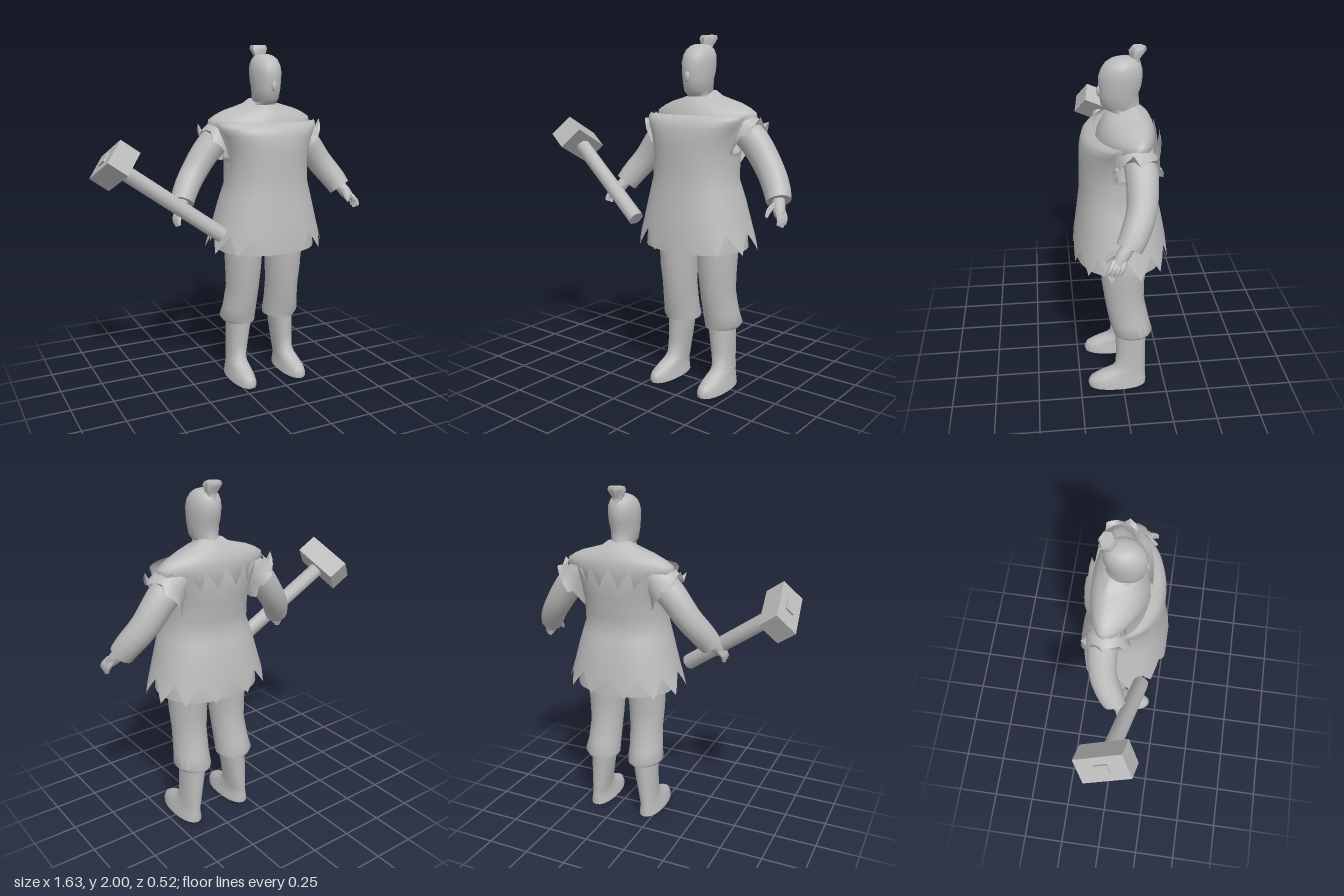
import * as THREE from 'three';
import { toCreasedNormals } from 'three/addons/utils/BufferGeometryUtils.js';

const CX = 0.215; // the figure stands off-centre, the hammer fills the other side
const clay = new THREE.MeshStandardMaterial({ color: 0xbbbbbb, side: THREE.DoubleSide });
clay.name = 'clay grey';
const V = (x, y, z) => new THREE.Vector3(x, y, z);

// Skin a list of closed rings (equal point counts), optionally capping the ends
function skin(name, rings, caps = true, crease = 0.9) {
  const n = rings[0].length, pos = [], idx = [];
  rings.forEach(r => r.forEach(p => pos.push(p.x, p.y, p.z)));
  for (let i = 0; i < rings.length - 1; i++) {
    for (let j = 0; j < n; j++) {
      const k = (j + 1) % n, a = i * n + j, b = i * n + k;
      idx.push(a, b, b + n, a, b + n, a + n);
    }
  }
  if (caps) {
    [0, rings.length - 1].forEach((r, end) => {
      const m = pos.length / 3, c = V(0, 0, 0);
      rings[r].forEach(p => c.addScaledVector(p, 1 / n));
      pos.push(c.x, c.y, c.z);
      for (let j = 0; j < n; j++) {
        const a = r * n + j, b = r * n + (j + 1) % n;
        idx.push(...(end ? [a, b, m] : [b, a, m]));
      }
    });
  }
  const g = new THREE.BufferGeometry();
  g.setAttribute('position', new THREE.Float32BufferAttribute(pos, 3));
  g.setIndex(idx);
  const mesh = new THREE.Mesh(toCreasedNormals(g, crease), clay);
  mesh.name = name;
  return mesh;
}

// Point on a horizontal oval: half width, front z, back z
function oval(t, y, x, hw, zf, zb, p = 1) {
  const s = Math.sin(t), c = Math.cos(t);
  const pw = v => Math.sign(v) * Math.abs(v) ** p;
  return V(x + hw * pw(s), y, (zf + zb) / 2 + (zf - zb) / 2 * pw(c));
}

// Stack of ovals, each [y, x offset, half width, front z, back z]; sweep pulls the sides back
function stack(name, secs, { side = 1, n = 20, p = 1, crease = 0.9, sweep = 0 } = {}) {
  return skin(name, secs.map(([y, dx, hw, zf, zb]) => Array.from({ length: n }, (_, j) => {
    const t = j / n * Math.PI * 2, q = oval(t, y, CX + side * dx, hw, zf, zb, p);
    q.z -= sweep * Math.sin(t) ** 2 * (0.5 + 0.5 * Math.cos(t));
    return q;
  })), true, crease);
}

// Round limb through points [x offset, y, z, radius]
function limb(name, pts, side = 1, n = 12, steps = 10) {
  const curve = new THREE.CatmullRomCurve3(pts.map(q => V(CX + side * q[0], q[1], q[2])));
  const f = curve.computeFrenetFrames(steps);
  const rings = [];
  for (let i = 0; i <= steps; i++) {
    const u = curve.getUtoTmapping(i / steps) * (pts.length - 1);
    const k = Math.min(Math.floor(u), pts.length - 2);
    const r = THREE.MathUtils.lerp(pts[k][3], pts[k + 1][3], u - k), c = curve.getPointAt(i / steps);
    rings.push(Array.from({ length: n }, (_, j) => {
      const t = j / n * Math.PI * 2;
      return c.clone().addScaledVector(f.normals[i], r * Math.cos(t)).addScaledVector(f.binormals[i], r * Math.sin(t));
    }));
  }
  return skin(name, rings);
}

// Tunic outline by height: [y, half width, front z, back z]
const TUNIC = [[0.83, 0.365, 0.268, -0.265], [0.95, 0.325, 0.26, -0.25], [1.1, 0.285, 0.24, -0.22],
  [1.22, 0.25, 0.225, -0.185], [1.35, 0.245, 0.222, -0.2], [1.45, 0.265, 0.222, -0.215],
  [1.52, 0.3, 0.21, -0.215], [1.55, 0.32, 0.195, -0.21], [1.575, 0.33, 0.14, -0.205]];
function tunicPoint(t, y) {
  let k = 0;
  while (k < TUNIC.length - 2 && TUNIC[k + 1][0] < y) k++;
  const a = TUNIC[k], b = TUNIC[k + 1], u = (y - a[0]) / (b[0] - a[0]);
  const m = i => THREE.MathUtils.lerp(a[i], b[i], u);
  return oval(t, y, CX, m(1), m(2), m(3), 0.9);
}

function makeTunic() {
  const n = 72;
  const teeth = (j, w) => Math.abs((j % w) - w / 2) / (w / 2);
  // straight chest edge, low armholes, ragged back edge
  const high = (j, c) => c > 0.25 ? 1.573 : c > -0.25 ? 1.37 : 1.46 + 0.11 * teeth(j, 4);
  const levels = [0, 0.96, 1.03, 1.1, 1.16, 1.22, 1.28, 1.34];
  const ring = height => Array.from({ length: n }, (_, j) => {
    const t = j / n * Math.PI * 2;
    return tunicPoint(t, height(j, Math.cos(t)));
  });
  const rings = levels.map((y, i) => ring(j => i ? y : 0.83 + 0.115 * teeth(j, 6)));
  for (const u of [0.25, 0.5, 0.7, 0.85, 0.93, 1]) {
    rings.push(ring((j, c) => THREE.MathUtils.lerp(1.34, high(j, c), u)));
  }
  return skin('tunic', rings, false, 1.2);
}

// Ragged sleeve edge flaring round the shoulder
function tornSleeve(side) {
  const d = V(side * 0.64, -0.77, 0), e = V(side * 0.77, 0.64, 0), base = V(CX + side * 0.25, 1.5, -0.06);
  const n = 24;
  const rings = [[0, 0.1], [0.05, 0.108], [0.08, 0.115]].map(([len, r], i) =>
    Array.from({ length: n }, (_, j) => {
      const t = j / n * Math.PI * 2 * side, tip = i === 2 ? (j % 4) / 3 : 0;
      const up = Math.cos(t);
      // tips curl up on top and hang down below
      return base.clone().addScaledVector(d, len - tip * 0.05 * up)
        .addScaledVector(e, up * (r + tip * 0.035))
        .add(V(0, 0, -Math.sin(t) * (r + tip * 0.02)));
    }));
  return skin('tornSleeve', rings, false);
}

function makeHammer() {
  const g = new THREE.Group();
  g.name = 'hammer';
  // axes: w across the head, d along the handle, l along the head
  const d = V(-0.8, 0.58, -0.16).normalize();
  const l = V(0.04, 0.13, 0.27);
  l.addScaledVector(d, -l.dot(d)).normalize();
  const w = new THREE.Vector3().crossVectors(d, l);
  g.quaternion.setFromRotationMatrix(new THREE.Matrix4().makeBasis(w, d, l));
  g.position.set(-0.70, 1.375, 0.028);
  const add = (name, geo, y) => {
    const m = new THREE.Mesh(geo, clay);
    m.name = name;
    m.position.y = y;
    g.add(m);
  };
  add('hammerHead', new THREE.BoxGeometry(0.155, 0.125, 0.28), 0);
  add('handle', toCreasedNormals(new THREE.CylinderGeometry(0.046, 0.046, 0.67, 8), 0.9), -0.385);
  add('handleEnd', new THREE.BoxGeometry(0.06, 0.02, 0.08), 0.062);
  return g;
}

export function createModel() {
  const model = new THREE.Group();
  model.name = 'hammerFighter';

  // Head, nose and topknot
  model.add(stack('head', [[1.6, 0, 0.1, 0.06, -0.14], [1.665, 0, 0.085, 0.045, -0.12], [1.68, 0, 0.06, 0.08, -0.11],
    [1.7, 0, 0.07, 0.1, -0.1], [1.76, 0, 0.078, 0.11, -0.095], [1.8, 0, 0.083, 0.112, -0.11],
    [1.85, 0, 0.086, 0.114, -0.116], [1.89, 0, 0.083, 0.1, -0.113], [1.92, 0, 0.071, 0.078, -0.1],
    [1.94, 0, 0.052, 0.05, -0.085], [1.95, 0, 0.025, 0.02, -0.06]], { crease: 1.3 }));
  const nose = new THREE.Mesh(new THREE.SphereGeometry(1, 10, 8), clay);
  nose.name = 'nose';
  nose.scale.set(0.016, 0.03, 0.014);
  nose.position.set(CX, 1.775, 0.109);
  model.add(nose);
  model.add(stack('topknot', [[1.9, 0, 0.035, -0.045, -0.11], [1.935, 0, 0.032, -0.05, -0.1],
    [1.982, 0, 0.053, -0.042, -0.135], [2.0, 0, 0.045, -0.055, -0.13]], { n: 6 }));

  // Body with sloping shoulders, then the clothes over it
  model.add(stack('torso', [[1.2, 0, 0.19, 0.13, -0.12], [1.42, 0, 0.2, 0.14, -0.155], [1.5, 0, 0.29, 0.135, -0.175],
    [1.55, 0, 0.335, 0.125, -0.178], [1.585, 0, 0.325, 0.112, -0.175], [1.61, 0, 0.285, 0.1, -0.168],
    [1.635, 0, 0.23, 0.085, -0.155], [1.655, 0, 0.16, 0.07, -0.142], [1.672, 0, 0.105, 0.05, -0.125],
    [1.7, 0, 0.066, 0.02, -0.095]], { n: 28, sweep: 0.08, crease: 1.2 }));
  model.add(stack('underSkirt', [[0.83, 0, 0.3, 0.25, -0.24], [0.95, 0, 0.29, 0.243, -0.233],
    [1.1, 0, 0.26, 0.22, -0.2], [1.22, 0, 0.22, 0.195, -0.155]], { n: 28, p: 0.9 }));
  model.add(makeTunic());

  for (const s of [1, -1]) {
    // Sleeve, hand and curled fingers
    model.add(limb('sleeve', [[0.2, 1.53, -0.06, 0.085], [0.31, 1.44, -0.075, 0.085], [0.425, 1.29, -0.062, 0.077],
      [0.495, 1.195, -0.018, 0.073], [0.525, 1.14, 0.012, 0.067]], s, 14));
    model.add(limb('palm', [[0.515, 1.17, 0, 0.032], [0.545, 1.115, 0.045, 0.036], [0.567, 1.075, 0.075, 0.026]], s, 10, 6));
    for (let i = 0; i < 4; i++) {
      const z = -0.035 + i * 0.02;
      model.add(limb('finger', [[0.562, 1.1, 0.065 + z * 0.8, 0.015], [0.588, 1.06, 0.088 + z, 0.014],
        [0.587, 1.02 + Math.abs(i - 1) * 0.008, 0.1 + z, 0.009]], s, 6, 5));
    }
    model.add(limb('thumb', [[0.53, 1.13, 0.06, 0.016], [0.518, 1.1, 0.1, 0.015], [0.518, 1.07, 0.125, 0.009]], s, 6, 5));
    model.add(tornSleeve(s));

    // Baggy trouser leg gathered over the boot
    model.add(stack('trouserLeg', [[0.355, 0.14, 0.098, 0.05, -0.168], [0.38, 0.148, 0.108, 0.056, -0.172],
      [0.45, 0.142, 0.1, 0.075, -0.152], [0.58, 0.135, 0.098, 0.098, -0.125], [0.7, 0.135, 0.106, 0.115, -0.125],
      [0.83, 0.133, 0.112, 0.125, -0.142], [0.95, 0.13, 0.112, 0.13, -0.15]], { side: s }));
    model.add(stack('boot', [[0, 0.17, 0.07, 0.2, -0.14], [0.025, 0.17, 0.067, 0.205, -0.14], [0.055, 0.17, 0.06, 0.19, -0.138],
      [0.08, 0.168, 0.056, 0.14, -0.136], [0.105, 0.166, 0.054, 0.075, -0.136], [0.135, 0.163, 0.054, 0.042, -0.136],
      [0.22, 0.155, 0.062, 0.036, -0.136], [0.4, 0.14, 0.076, 0.04, -0.14]], { side: s, p: 0.9, crease: 1.2 }));
  }

  model.add(makeHammer());
  return model;
}
